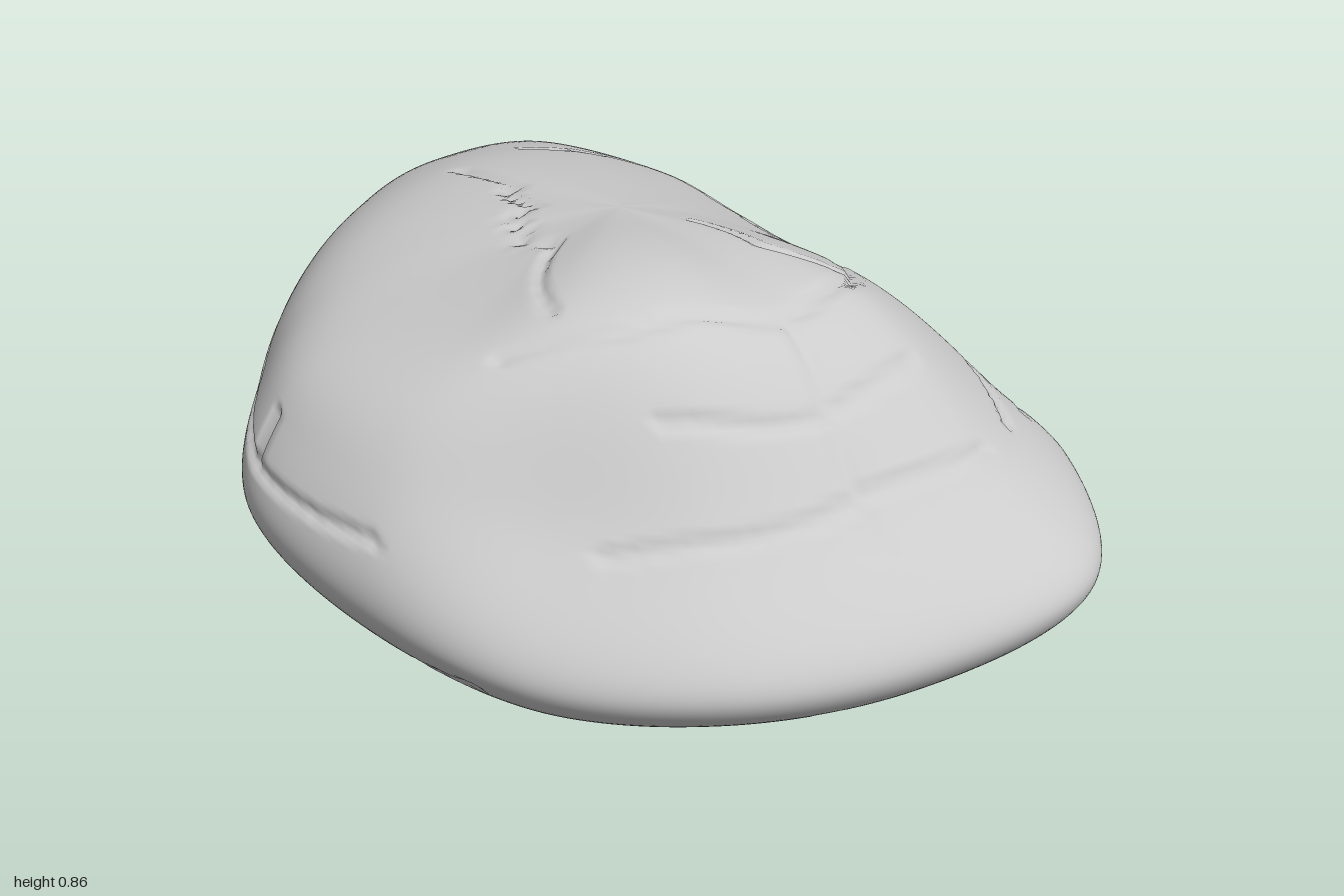
import * as THREE from 'three';
import { mergeVertices } from 'three/addons/utils/BufferGeometryUtils.js';

// One spoke every 22.5 degrees from +x towards +z:
// plateau rim (r, y), shoulder (r, y), widest point (r, y), foot (r, y)
const SPOKES = [
  [0.53, 0.76, 0.80, 0.47, 0.985, 0.23, 0.72, 0.05],
  [0.53, 0.80, 0.78, 0.47, 0.945, 0.22, 0.66, 0.05],
  [0.55, 0.79, 0.76, 0.49, 0.905, 0.23, 0.58, 0.04],
  [0.63, 0.725, 0.80, 0.55, 0.87, 0.30, 0.50, 0.04],
  [0.66, 0.69, 0.79, 0.58, 0.855, 0.39, 0.46, 0.03],
  [0.56, 0.71, 0.69, 0.59, 0.73, 0.39, 0.47, 0.03],
  [0.51, 0.73, 0.65, 0.61, 0.71, 0.36, 0.50, 0.03],
  [0.50, 0.74, 0.68, 0.61, 0.755, 0.35, 0.56, 0.03],
  [0.52, 0.74, 0.81, 0.58, 0.93, 0.34, 0.59, 0.03],
  [0.54, 0.71, 0.93, 0.55, 1.06, 0.34, 0.63, 0.03],
  [0.55, 0.65, 0.87, 0.46, 1.045, 0.27, 0.65, 0.02],
  [0.45, 0.63, 0.70, 0.39, 0.90, 0.20, 0.63, 0.01],
  [0.38, 0.65, 0.65, 0.38, 0.86, 0.145, 0.59, 0.0],
  [0.40, 0.66, 0.65, 0.41, 0.85, 0.18, 0.60, 0.0],
  [0.46, 0.70, 0.75, 0.47, 0.92, 0.28, 0.62, 0.01],
  [0.52, 0.75, 0.84, 0.47, 1.055, 0.27, 0.70, 0.03],
];

// Crack paths as (spoke, row); row 0 is the crown, 3 the widest line, 5 the base centre
const CRACKS = [
  [[7.4, 0.85], [7.2, 0.5], [6, 0.35], [3, 0.35], [2.2, 0.85]],
  [[14.5, 0.3], [15, 0.6], [14.5, 0.95]],
  [[8.6, 1], [10, 1.1], [11.6, 0.95], [13.5, 1], [15, 0.95], [17, 1], [18.5, 1.1]],
  [[9.8, 1.9], [11, 1.7], [12, 1.6], [13, 1.5], [14.5, 2]],
  [[10.2, 2.3], [11.5, 2.4], [12.6, 2.4], [14, 2.3]],
  [[11.9, 1.6], [11.9, 1.1]],
  [[-0.9, 1.4], [0, 1.5], [1.3, 1.5]],
  [[-1, 1.9], [0, 1.9], [1.7, 2.1]],
  [[0, 1], [0.1, 2.2]],
  [[3, 2.4], [4, 2.5], [5.5, 2.2], [7, 2.3]],
  [[4, 2], [4, 2.5]],
  [[4.4, 3.1], [6, 3.1], [7.5, 3], [8.5, 2.9]],
  [[2.4, 3.2], [3.5, 3.5], [4.5, 3.5], [6, 3.4]],
  [[6.6, 3.1], [6.7, 3.7], [7.6, 3.7]],
  [[9, 4.2], [10.5, 4], [12, 4.1], [13.5, 4.2]],
  [[8, 3.3], [9.5, 3.4], [11, 3.4]],
  [[14, 3.5], [15.2, 3.5], [16.5, 3.4]],
];

const AROUND = 256, DOWN = 128;

function spokePoint(k, n) {
  const a = k * Math.PI / 8, r = SPOKES[k][n];
  return new THREE.Vector3(r * Math.cos(a), SPOKES[k][n + 1], r * Math.sin(a));
}

// Smooth meridians from crown to base centre; each runs on into the
// opposite spoke at both ends so that the poles stay rounded
const meridians = () => SPOKES.map((_, k) => {
  const opposite = (k + 8) % 16;
  return new THREE.CatmullRomCurve3([
    spokePoint(opposite, 0),
    new THREE.Vector3(0, 0.8, 0),
    ...[0, 2, 4, 6].map(n => spokePoint(k, n)),
    new THREE.Vector3(0, 0.03, 0),
    spokePoint(opposite, 6),
  ]);
});

// Closed ring through all meridians at one row
function ringAt(curves, row) {
  return new THREE.CatmullRomCurve3(curves.map(c => c.getPoint((row + 1) / 7)), true);
}

// Low crest on the crown
function crest(p) {
  const d2 = (p.x - 0.22) ** 2 + (p.z - 0.14) ** 2;
  if (p.y > 0.4) p.y += 0.012 * Math.exp(-d2 / 0.05);
  return p;
}

function stoneGeometry() {
  const curves = meridians();
  const positions = [], index = [];
  for (let j = 0; j <= DOWN; j++) {
    const row = 5 * j / DOWN, ring = ringAt(curves, row);
    for (let i = 0; i < AROUND; i++) {
      const p = j % DOWN ? ring.getPoint(i / AROUND) : curves[0].getPoint((row + 1) / 7);
      positions.push(...crest(p).toArray());
      if (j === DOWN) continue;
      const a = j * AROUND + i, b = j * AROUND + (i + 1) % AROUND;
      if (j > 0) index.push(a, b, a + AROUND);
      if (j < DOWN - 1) index.push(b, b + AROUND, a + AROUND);
    }
  }
  let geo = new THREE.BufferGeometry();
  geo.setAttribute('position', new THREE.Float32BufferAttribute(positions, 3));
  geo.setIndex(index);
  geo = mergeVertices(geo, 1e-5);
  geo.computeVertexNormals();

  // Sample the crack paths on the surface, with a slight waver
  const marks = [];
  for (const path of CRACKS) {
    for (let n = 0; n < path.length - 1; n++) {
      const [s0, r0] = path[n], [s1, r1] = path[n + 1];
      const steps = Math.ceil(Math.max(Math.abs(s1 - s0), Math.abs(r1 - r0)) * 25);
      for (let k = 0; k <= steps; k++) {
        const f = k / steps, s = s0 + (s1 - s0) * f;
        const row = r0 + (r1 - r0) * f + 0.02 * Math.sin(s * 4);
        marks.push(crest(ringAt(curves, row).getPoint((s / 16 + 1) % 1)));
      }
    }
  }

  // Press narrow grooves into the stone along the cracks
  const pos = geo.attributes.position, nor = geo.attributes.normal;
  const p = new THREE.Vector3(), normal = new THREE.Vector3();
  for (let v = 0; v < pos.count; v++) {
    p.fromBufferAttribute(pos, v);
    let d = Infinity;
    for (const m of marks) d = Math.min(d, p.distanceToSquared(m));
    const depth = 0.014 * Math.max(0, 1 - Math.sqrt(d) / 0.018);
    p.addScaledVector(normal.fromBufferAttribute(nor, v), -depth);
    pos.setXYZ(v, p.x, p.y, p.z);
  }
  geo.computeVertexNormals();

  // Rest on the ground
  geo.computeBoundingBox();
  return geo.translate(0, -geo.boundingBox.min.y, 0);
}

export function createModel() {
  const group = new THREE.Group();
  group.name = 'rock';
  const stone = new THREE.Mesh(stoneGeometry(), new THREE.MeshStandardMaterial({ color: 0xcccccc }));
  stone.name = 'crackedStone';
  group.add(stone);
  return group;
}
